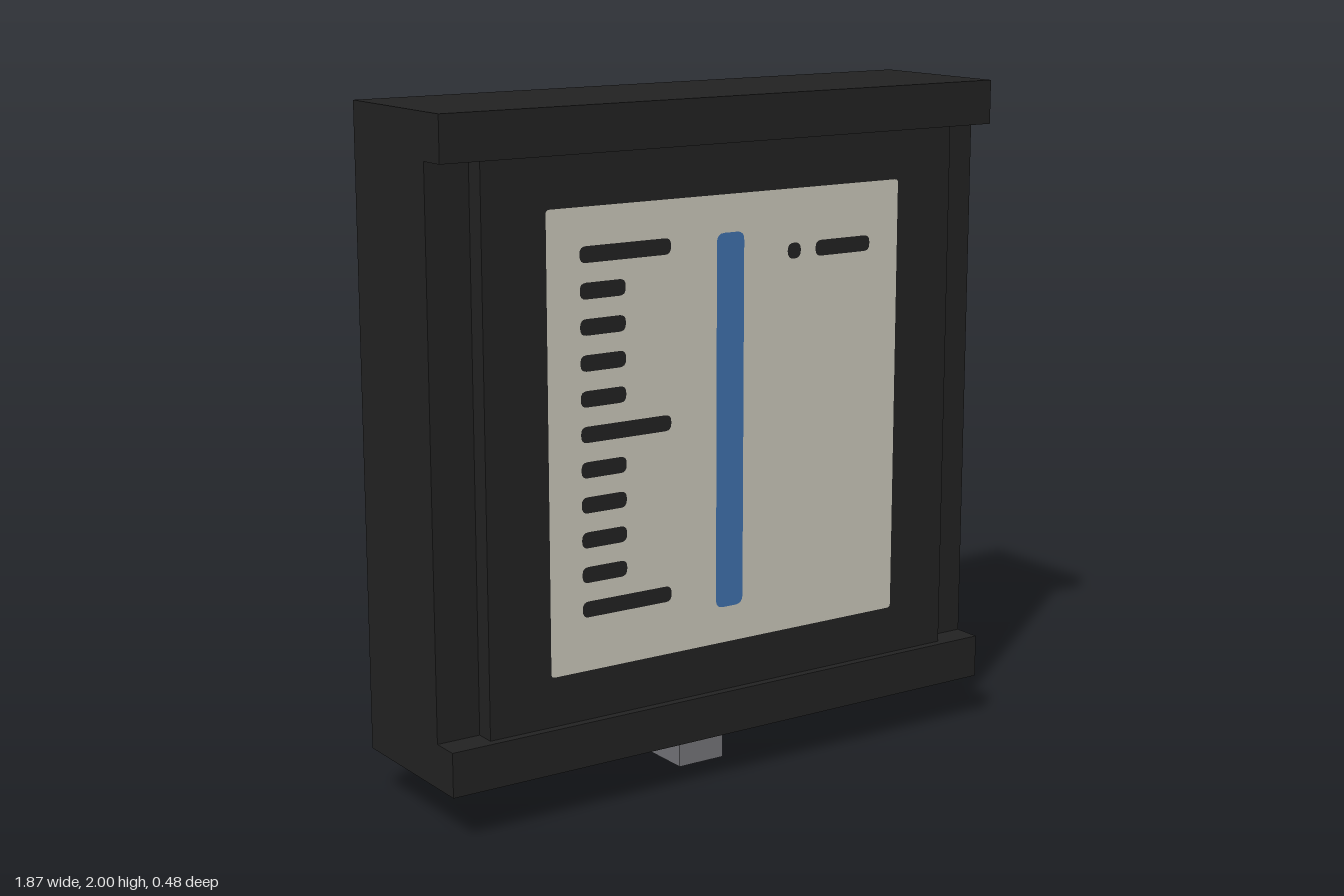
import * as THREE from 'three';

const mat = (name, color) => {
  const m = new THREE.MeshStandardMaterial({ color });
  m.name = name;
  return m;
};

export function createModel() {
  const model = new THREE.Group();
  const black = mat('black casing', 0x222222);
  const cream = mat('cream dial', 0xc8c5b8);
  const blue = mat('blue fluid', 0x3f6fab);
  const grey = mat('grey metal', 0x737378);

  const add = (name, geometry, material) => {
    const mesh = new THREE.Mesh(geometry, material);
    mesh.name = name;
    model.add(mesh);
    return mesh;
  };

  const box = (name, material, x0, x1, y0, y1, z0, z1) =>
    add(name, new THREE.BoxGeometry(x1 - x0, y1 - y0, z1 - z0), material)
      .position.set((x0 + x1) / 2, (y0 + y1) / 2, (z0 + z1) / 2);

  // Painted face with rounded corners, facing +z
  const plate = (name, material, x0, x1, y0, y1, z, r) => {
    const s = new THREE.Shape();
    s.moveTo(x0 + r, y0);
    s.lineTo(x1 - r, y0);
    s.quadraticCurveTo(x1, y0, x1, y0 + r);
    s.lineTo(x1, y1 - r);
    s.quadraticCurveTo(x1, y1, x1 - r, y1);
    s.lineTo(x0 + r, y1);
    s.quadraticCurveTo(x0, y1, x0, y1 - r);
    s.lineTo(x0, y0 + r);
    s.quadraticCurveTo(x0, y0, x0 + r, y0);
    add(name, new THREE.ShapeGeometry(s, 4), material).position.z = z;
  };

  // Casing: C-shaped side profile (z, y) with a lip at top and bottom, swept along x
  const W = 0.933;
  const profile = new THREE.Shape([
    [-0.24, 0.14], [0.24, 0.14], [0.24, 0.27], [0.155, 0.27],
    [0.155, 1.87], [0.24, 1.87], [0.24, 2], [-0.24, 2],
  ].map(([z, y]) => new THREE.Vector2(z, y)));
  const casing = new THREE.ExtrudeGeometry(profile, { depth: 2 * W, bevelEnabled: false });
  casing.rotateY(-Math.PI / 2).translate(W, 0, 0);
  add('casing', casing, black);

  // Raised front panel between the lips
  box('frontPanel', black, -0.8, 0.8, 0.27, 1.87, 0.15, 0.215);

  // Connector under the casing
  box('connector', grey, -0.078, 0.078, 0, 0.142, -0.078, 0.078);

  // Dial face and fluid column
  plate('dial', cream, -0.603, 0.603, 0.415, 1.725, 0.217, 0.012);
  plate('fluidColumn', blue, -0.047, 0.047, 0.523, 1.617, 0.22, 0.025);

  // Scale: eleven ticks, every fifth one long
  for (let i = 0; i <= 10; i++) {
    const y = 0.595 + i * 0.1;
    plate('tick', black, -0.5, i % 5 === 0 ? -0.202 : -0.352, y - 0.023, y + 0.023, 0.22, 0.02);
  }

  // Unit mark: dot and dash
  plate('unitDot', black, 0.2, 0.247, 1.523, 1.569, 0.22, 0.022);
  plate('unitDash', black, 0.3, 0.497, 1.523, 1.569, 0.22, 0.02);

  return model;
}
